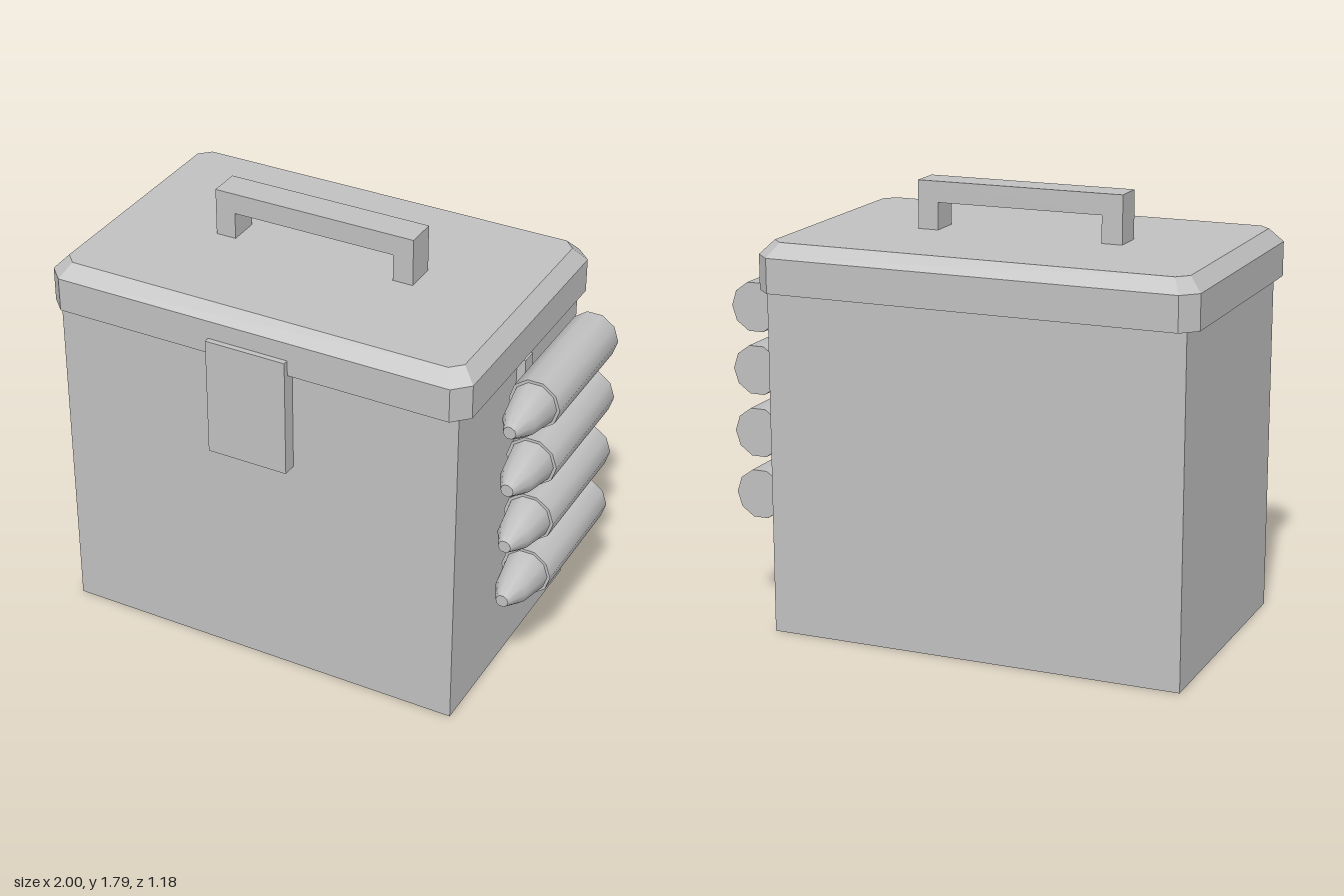
import * as THREE from 'three';
import { toCreasedNormals } from 'three/addons/utils/BufferGeometryUtils.js';

const metal = new THREE.MeshStandardMaterial({ name: 'grey metal', color: 0xc0c0c0 });

function add(parent, name, geometry) {
  const mesh = new THREE.Mesh(geometry, metal);
  mesh.name = name;
  parent.add(mesh);
  return mesh;
}

// Box given by its minimum and maximum corners
function box(parent, name, [x0, y0, z0], [x1, y1, z1]) {
  const mesh = add(parent, name, new THREE.BoxGeometry(x1 - x0, y1 - y0, z1 - z0));
  mesh.position.set((x0 + x1) / 2, (y0 + y1) / 2, (z0 + z1) / 2);
}

// Rectangle with cut corners, seen from above
function ring(y, hx, hz, cut) {
  return [
    [hx - cut, hz], [hx, hz - cut], [hx, -hz + cut], [hx - cut, -hz],
    [-hx + cut, -hz], [-hx, -hz + cut], [-hx, hz - cut], [-hx + cut, hz],
  ].map(([x, z]) => [x, y, z]);
}

// Flat-faced solid through a stack of rings, closed at both ends
function loft(rings) {
  const p = [];
  const n = rings[0].length;
  for (let r = 0; r < rings.length - 1; r++) {
    for (let i = 0; i < n; i++) {
      const j = (i + 1) % n;
      const a = rings[r][i], b = rings[r][j], c = rings[r + 1][j], d = rings[r + 1][i];
      p.push(...a, ...b, ...c, ...a, ...c, ...d);
    }
  }
  const bottom = rings[0], top = rings[rings.length - 1];
  for (let i = 1; i < n - 1; i++) {
    p.push(...top[0], ...top[i], ...top[i + 1]);
    p.push(...bottom[0], ...bottom[i + 1], ...bottom[i]);
  }
  const g = new THREE.BufferGeometry();
  g.setAttribute('position', new THREE.Float32BufferAttribute(p, 3));
  g.computeVertexNormals();
  return g;
}

export function createModel() {
  const model = new THREE.Group();
  model.name = 'ammunitionBox';

  box(model, 'body', [-0.955, 0, -0.545], [0.76, 1.41, 0.53]);

  // Lid with cut corners and a bevelled top edge
  const lid = add(model, 'lid', loft([
    ring(1.4, 0.9, 0.58, 0.063),
    ring(1.54, 0.9, 0.58, 0.063),
    ring(1.595, 0.848, 0.526, 0.045),
  ]));
  lid.position.set(-0.1, 0, -0.013);

  box(model, 'latch', [-0.27, 0.97, 0.525], [0.07, 1.465, 0.59]);

  // Handle: a squared arch
  const arch = new THREE.Shape([
    [-0.53, 1.59], [-0.445, 1.59], [-0.445, 1.705], [0.245, 1.705],
    [0.245, 1.59], [0.33, 1.59], [0.33, 1.79], [-0.53, 1.79],
  ].map(([x, y]) => new THREE.Vector2(x, y)));
  const handle = add(model, 'handle', new THREE.ExtrudeGeometry(arch, { depth: 0.13, bevelEnabled: false }));
  handle.position.z = -0.075;

  // Strap holding the row of cartridges on the side
  box(model, 'strap', [0.755, 0.475, -0.04], [0.795, 1.38, 0.025]);

  const profile = [
    [0, -0.4], [0.104, -0.4], [0.104, 0.16], [0.092, 0.16],
    [0.067, 0.295], [0.026, 0.38], [0, 0.38],
  ].map(([r, z]) => new THREE.Vector2(r, z));
  const cartridge = toCreasedNormals(
    new THREE.LatheGeometry(profile, 10, Math.PI / 2).rotateX(Math.PI / 2), 0.75);
  [1.293, 1.035, 0.776, 0.518].forEach((y, i) => {
    add(model, `cartridge${i + 1}`, cartridge).position.set(0.895, y, 0);
  });

  return model;
}
